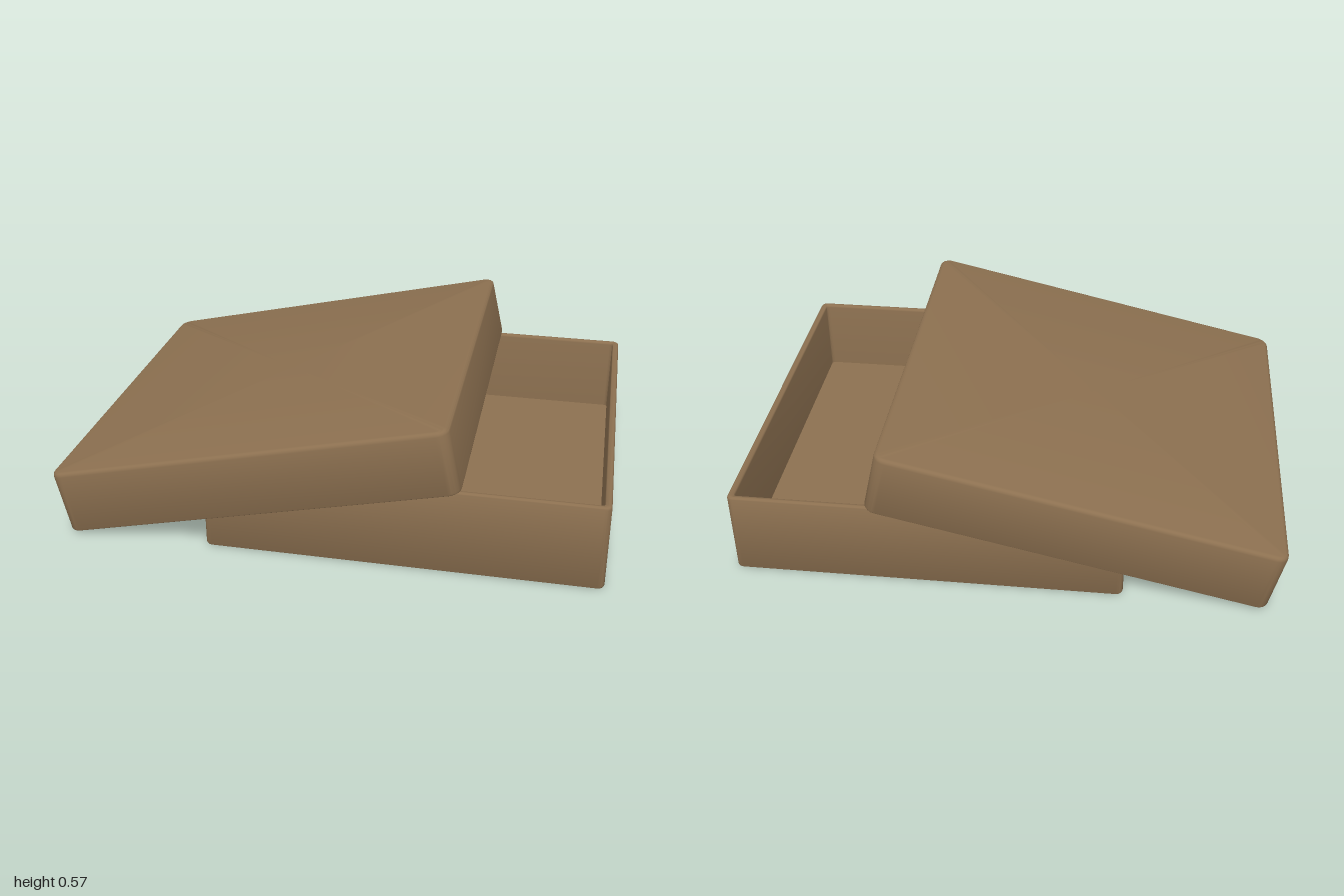
import * as THREE from 'three';
import { toCreasedNormals } from 'three/addons/utils/BufferGeometryUtils.js';

const CORNER_STEPS = 5;

// Rounded rectangle, counter-clockwise from above; scale 0 collapses it to the centre
function ring(halfX, halfZ, radius, y, scale = 1) {
  const points = [];
  for (let q = 0; q < 4; q++) {
    const sx = q === 0 || q === 3 ? 1 : -1;
    const sz = q < 2 ? -1 : 1;
    for (let i = 0; i <= CORNER_STEPS; i++) {
      const a = (q + i / CORNER_STEPS) * Math.PI / 2;
      points.push([
        scale * (sx * (halfX - radius) + radius * Math.cos(a)), y,
        scale * (sz * (halfZ - radius) - radius * Math.sin(a)),
      ]);
    }
  }
  return points;
}

// Open tray with softened edges, made by lofting rings from the base up, over the rim and down inside
function tray(width, depth, height, radius, wall, floor, bevel) {
  const profile = []; // [inset, y]
  const arc = (cx, cy, r, from, to) => {
    for (let i = 0; i <= 4; i++) {
      const a = from + (to - from) * i / 4;
      profile.push([cx - r * Math.cos(a), cy + r * Math.sin(a)]);
    }
  };
  const rim = Math.min(bevel, wall * 0.4);
  arc(bevel, bevel, bevel, -Math.PI / 2, 0);
  arc(rim, height - rim, rim, 0, Math.PI / 2);
  arc(wall - rim, height - rim, rim, Math.PI / 2, Math.PI);
  profile.push([wall, floor]);

  const section = ([inset, y], scale) =>
    ring(width / 2 - inset, depth / 2 - inset, Math.max(radius - inset, 0.012), y, scale);
  const rings = [
    section(profile[0], 0),
    ...profile.map((p) => section(p, 1)),
    section(profile[profile.length - 1], 0),
  ];

  const positions = [];
  const n = rings[0].length;
  for (let i = 0; i < rings.length - 1; i++) {
    for (let j = 0; j < n; j++) {
      const k = (j + 1) % n;
      const a = rings[i][j], b = rings[i][k], c = rings[i + 1][k], d = rings[i + 1][j];
      if (i < rings.length - 2) positions.push(...a, ...c, ...d);
      if (i > 0) positions.push(...a, ...b, ...c);
    }
  }
  const geometry = new THREE.BufferGeometry();
  geometry.setAttribute('position', new THREE.Float32BufferAttribute(positions, 3));
  return toCreasedNormals(geometry, Math.PI / 5);
}

export function createModel() {
  const model = new THREE.Group();
  model.name = 'openBox';
  const cardboard = new THREE.MeshStandardMaterial({ color: 0x8c7050 });
  cardboard.name = 'brown cardboard';

  // Box base, standing on the ground
  const base = new THREE.Mesh(tray(1.43, 1.43, 0.325, 0.025, 0.025, 0.025, 0.01), cardboard);
  base.name = 'boxBase';
  base.position.x = 0.283;
  model.add(base);

  // Lid: an upturned tray, leaning with one edge on the ground and one on the base
  const lidHeight = 0.243;
  const lid = new THREE.Group();
  lid.name = 'lid';
  const shell = new THREE.Mesh(tray(1.48, 1.488, lidHeight, 0.045, 0.027, 0.025, 0.016), cardboard);
  shell.name = 'lidShell';
  shell.rotation.x = Math.PI;
  shell.position.y = lidHeight / 2;
  lid.add(shell);
  lid.rotation.z = THREE.MathUtils.degToRad(12.75);
  lid.position.set(-0.253, 0.287, 0);
  model.add(lid);

  return model;
}
